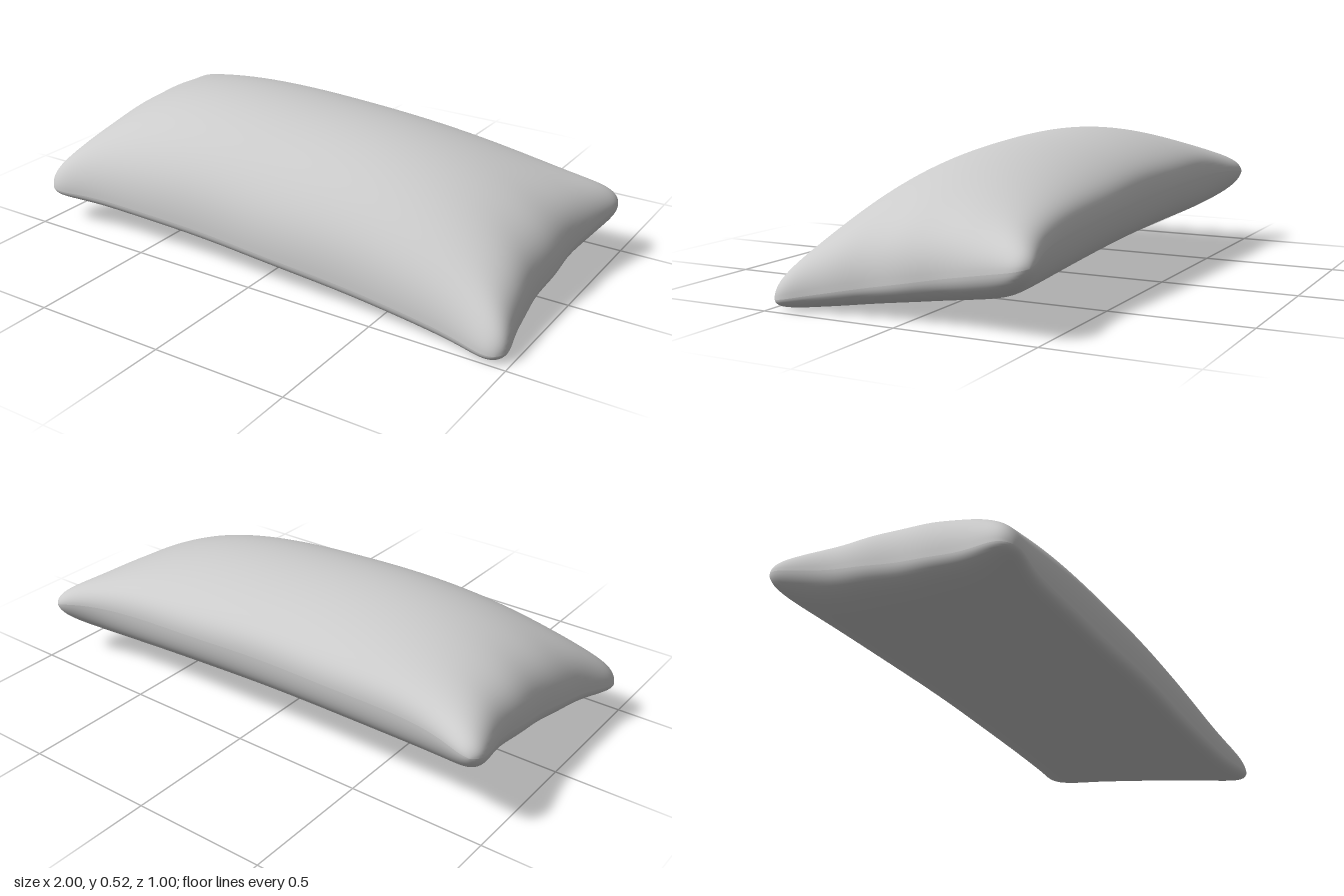
import * as THREE from 'three';

// Corner positions of the seam: [x, y, z]
const BACK_R = [-0.992, 0.345, -0.553], BACK_L = [1.031, 0.262, -0.512];
const FRONT_R = [-1.034, 0.165, 0.51], FRONT_L = [1.012, 0.05, 0.545];

const lerp = THREE.MathUtils.lerp;
const dome = (t, power, exp) => Math.pow(Math.max(0, 1 - Math.pow(Math.abs(t), power)), exp);

// Sheet the seam spans: tilted, arched, pinched in along the edges, rounded at the corners
function seamPoint(u, v) {
  const ur = u * (1 - 0.055 * Math.pow(v, 16));
  const vr = v * (1 - 0.1 * Math.pow(u, 24));
  const a = (ur + 1) / 2, b = (vr + 1) / 2;
  const p = [0, 1, 2].map(i => lerp(lerp(BACK_R[i], BACK_L[i], a), lerp(FRONT_R[i], FRONT_L[i], a), b));
  p[0] -= u * 0.076 * dome(v, 3, 1);
  p[2] -= v * (0.09 - 0.008 * v) * dome(u, 9, 1);
  p[1] += 0.035 * dome(u, 2, 1);
  // slight gathers along the edges
  p[0] += 0.003 * Math.pow(u, 9) * Math.sin(11 * v + 2 * u) * dome(v, 2, 1);
  p[2] += 0.003 * Math.pow(v, 9) * Math.sin(9 * u + v) * dome(u, 2, 1);
  return p;
}

// One cloth panel; side = 1 for the upper, -1 for the lower
function panel(name, side, height) {
  const geo = new THREE.PlaneGeometry(2, 2, 80, 64);
  const pos = geo.attributes.position;
  for (let i = 0; i < pos.count; i++) {
    // sine spacing packs the rows close to the seam
    const u = side * Math.sin(pos.getX(i) * Math.PI / 2);
    const v = -Math.sin(pos.getY(i) * Math.PI / 2);
    const [x, y, z] = seamPoint(u, v);
    // blunt rim so the edge is rolled rather than knife-sharp
    const rim = 0.023 * dome(u, 30, 0.5) * dome(v, 30, 0.5);
    pos.setXYZ(i, x, y + side * (rim + height(u, v)), z);
  }
  geo.computeVertexNormals();
  const mesh = new THREE.Mesh(geo, new THREE.MeshStandardMaterial({ color: 0xcccccc, side: THREE.DoubleSide }));
  mesh.name = name;
  return mesh;
}

export function createModel() {
  const group = new THREE.Group();
  group.name = 'pillow';

  // Plump top, fuller towards the front, with faint creases at the short ends
  const top = panel('upperPanel', 1, (u, v) => {
    const crease = 0.018 * Math.pow(u, 12) * Math.sin(14 * v + u);
    return 0.28 * (1 + 0.28 * v) * dome(u, 2.8, 0.43) * dome(v, 2, 0.53 - 0.03 * v) * (1 + crease);
  });

  // Flattened underside, deeper towards the back
  const bottom = panel('lowerPanel', -1, (u, v) =>
    (0.092 - 0.052 * v) * dome(u, 7, 0.55) * dome(v, 6, 0.55));

  group.add(top, bottom);

  // Rest on the ground
  const box = new THREE.Box3().setFromObject(group);
  top.position.y = bottom.position.y = -box.min.y;
  return group;
}
